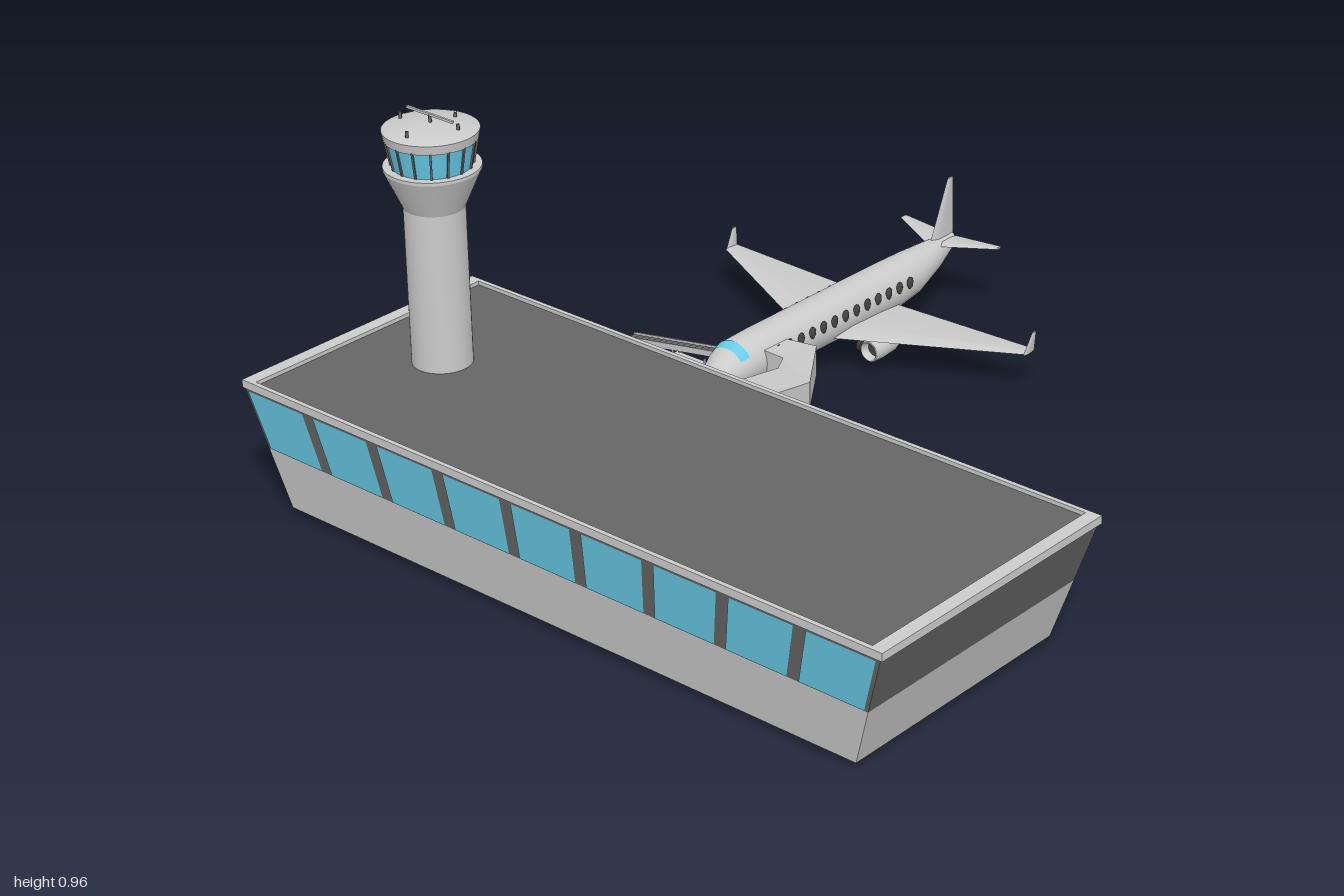
import * as THREE from 'three';
import { toCreasedNormals } from 'three/addons/utils/BufferGeometryUtils.js';
import { ConvexGeometry } from 'three/addons/geometries/ConvexGeometry.js';

const mat = (color, flatShading = false) =>
  new THREE.MeshStandardMaterial({ color, flatShading, side: THREE.DoubleSide });
const grey = mat(0xcccccc), dark = mat(0x666666), glass = mat(0x68cbe8), black = mat(0x444444);

function add(parent, name, geo, material, x = 0, y = 0, z = 0) {
  const m = new THREE.Mesh(geo, material);
  m.name = name;
  m.position.set(x, y, z);
  parent.add(m);
  return m;
}

function group(parent, name) {
  const g = new THREE.Group();
  g.name = name;
  parent.add(g);
  return g;
}

// Joins rings of points into a solid, facing outward
function loft(rings, crease = 0.6, caps = true) {
  const tris = [], n = rings[0].length;
  for (let i = 0; i < rings.length - 1; i++)
    for (let j = 0; j < n; j++) {
      const k = (j + 1) % n, a = rings[i][j], b = rings[i][k], c = rings[i + 1][k], d = rings[i + 1][j];
      tris.push([a, b, c], [a, c, d]);
    }
  if (caps) for (let j = 1; j < n - 1; j++) {
    const e = rings[rings.length - 1], s = rings[0];
    tris.push([s[0], s[j + 1], s[j]], [e[0], e[j], e[j + 1]]);
  }
  const v = (p) => new THREE.Vector3(...p);
  const vol = tris.reduce((t, [a, b, c]) => t + v(a).dot(v(b).cross(v(c))), 0);
  if (vol < 0) tris.forEach((t) => t.reverse());
  const geo = new THREE.BufferGeometry();
  geo.setAttribute('position', new THREE.Float32BufferAttribute(tris.flat(2), 3));
  geo.computeVertexNormals();
  return toCreasedNormals(geo, crease);
}

function quad(a, b, c, d) {
  const geo = new THREE.BufferGeometry();
  geo.setAttribute('position', new THREE.Float32BufferAttribute([a, b, c, a, c, d].flat(), 3));
  geo.computeVertexNormals();
  return geo;
}

// Point on an outward-leaning wall; u runs -1..1 to the right as seen from outside
function wallPoint(side, u, y, off = 0) {
  const t = (y - 0.02) / 0.32, hx = 0.86 + 0.1 * t, hz = 0.335 + 0.04 * t, cz = 0.625;
  if (side === 'front') return [u * hx, y, cz + hz + off];
  if (side === 'back') return [-u * hx, y, cz - hz - off];
  if (side === 'left') return [hx + off, y, cz - u * hz];
  return [-hx - off, y, cz + u * hz];
}

const panel = (side, u0, u1, y0, y1, off = 0) => quad(
  wallPoint(side, u0, y0, off), wallPoint(side, u1, y0, off),
  wallPoint(side, u1, y1, off), wallPoint(side, u0, y1, off));

function terminal(parent) {
  const g = group(parent, 'terminal');
  const doors = { back: [-0.545, -0.36, 0.04, dark], right: [-0.2, 0.15, 0.1, grey] };
  const panes = { front: 9, back: 9, right: 4, left: 0 };
  const base = 0.02, sill = 0.17, top = 0.32;
  for (const side of Object.keys(panes)) {
    const door = doors[side];
    if (door) {
      const [u0, u1, lean, material] = door, depth = lean * (sill - base) / 0.32;
      add(g, 'lowerWall', panel(side, -1, u0, base, sill), grey);
      add(g, 'lowerWall', panel(side, u1, 1, base, sill), grey);
      const inner = [u0, u1].map((u) => wallPoint(side, u, sill, -depth));
      const low = [u0, u1].map((u) => wallPoint(side, u, base));
      const high = [u0, u1].map((u) => wallPoint(side, u, sill));
      add(g, 'door', quad(low[0], low[1], inner[1], inner[0]), material);
      add(g, 'doorHead', quad(inner[0], inner[1], high[1], high[0]), grey);
      for (const i of [0, 1]) add(g, 'doorReveal', quad(low[i], inner[i], high[i], high[i]), grey);
    } else add(g, 'lowerWall', panel(side, -1, 1, base, sill), grey);
    add(g, 'windowBand', panel(side, -1, 1, sill, top), dark);
    const n = panes[side], gap = n === 9 ? 0.018 : 0.04;
    for (let i = 0; i < n; i++) {
      const u0 = -1 + (2 * i) / n + (i ? gap : 0.01), u1 = -1 + (2 * (i + 1)) / n - (i < n - 1 ? gap : 0.01);
      add(g, 'windowPane', panel(side, u0, u1, sill + 0.002, top - 0.005, 0.002), glass);
    }
  }
  add(g, 'floor', new THREE.BoxGeometry(1.72, 0.002, 0.67), dark, 0, 0.021, 0.625);
  // Shallow ramps below the two doors
  const ramp = (pts) => add(g, 'doorRamp', new ConvexGeometry(pts.map((p) => new THREE.Vector3(...p))), dark);
  ramp([[0.13, 0.02, 0.29], [0.63, 0.02, 0.29], [0.31, 0.01, 0.29], [0.47, 0.01, 0.29], [0.38, 0.02, 0.6]]);
  ramp([[-0.86, 0.02, 0.32], [-0.86, 0.02, 0.77], [-0.85, 0, 0.61], [-0.7, 0.02, 0.6]]);
  // Roof and raised rim
  add(g, 'roof', new THREE.BoxGeometry(1.88, 0.008, 0.73), dark, 0, 0.326, 0.625);
  const rect = (Type, x, z0, z1) => {
    const s = new Type();
    s.moveTo(-x, -z0); s.lineTo(x, -z0); s.lineTo(x, -z1); s.lineTo(-x, -z1); s.closePath();
    return s;
  };
  const rim = rect(THREE.Shape, 0.96, 0.25, 1);
  rim.holes.push(rect(THREE.Path, 0.925, 0.262, 0.988));
  const rimGeo = new THREE.ExtrudeGeometry(rim, { depth: 0.02, bevelEnabled: false });
  add(g, 'roofRim', rimGeo.rotateX(-Math.PI / 2), grey, 0, 0.32, 0);
}

function tower(parent) {
  const g = group(parent, 'controlTower');
  g.position.set(-0.69, 0, 0.615);
  const turned = (name, pts, material) => add(g, name, toCreasedNormals(
    new THREE.LatheGeometry(pts.map((p) => new THREE.Vector2(...p)), 40), 0.4), material);
  turned('shaft', [[0.073, 0.325], [0.073, 0.73], [0.115, 0.825], [0.115, 0.833], [0, 0.833]], grey);
  turned('cabGlass', [[0.094, 0.832], [0.107, 0.902]], glass);
  turned('cabRoof', [[0, 0.899], [0.11, 0.899], [0.114, 0.922], [0.1, 0.927], [0, 0.937]], grey);
  for (let i = 0; i < 16; i++) {
    const pivot = group(g, 'cabMullion');
    pivot.rotation.y = (i * Math.PI) / 8;
    const bar = add(pivot, 'mullionBar', new THREE.BoxGeometry(0.005, 0.072, 0.006), dark, 0, 0.867, 0.101);
    bar.rotation.x = 0.184;
  }
  // Roof aerials
  add(g, 'radarBar', new THREE.BoxGeometry(0.15, 0.006, 0.006), grey, 0, 0.955, 0);
  for (const [x, z, top] of [[0, 0, 0.955], [-0.083, 0.015, 0.945], [0.07, -0.02, 0.943], [0.012, 0.085, 0.943], [0.01, -0.07, 0.94]])
    add(g, 'aerial', new THREE.CylinderGeometry(0.004, 0.004, top - 0.92, 8), dark, x, (top + 0.92) / 2, z);
}

function jetBridge(parent) {
  // Left and right floor corners, then floor and ceiling height
  const rings = [
    [-0.3, 0.275, -0.125, 0.275, 0.16, 0.315],
    [-0.26, 0.16, -0.145, 0.16, 0.125, 0.215],
    [-0.255, -0.09, -0.145, -0.08, 0.11, 0.18],
    [-0.3, -0.16, -0.28, -0.265, 0.088, 0.167],
    [-0.37, -0.165, -0.37, -0.25, 0.088, 0.165],
  ].map(([x0, z0, x1, z1, lo, hi]) => [[x0, lo, z0], [x1, lo, z1], [x1, hi, z1], [x0, hi, z0]]);
  add(parent, 'jetBridge', loft(rings, 0.1), grey);
}

// Tapered wing or fin; each row is x, y, leading z, trailing z, thickness
function foil(rows, axis = 1) {
  const profile = [[0, 0], [0.25, 0.5], [0.7, 0.35], [1, 0.03], [1, -0.03], [0.7, -0.35], [0.25, -0.5]];
  return loft(rows.map(([x, y, zl, zt, th]) => profile.map(([c, h]) => {
    const p = [x, y, zl + (zt - zl) * c];
    p[axis] += h * th;
    return p;
  })), 0.7);
}

function airplane(parent) {
  const g = group(parent, 'airplane');
  g.position.x = -0.42;
  // z, centre height, half width, half height
  const sections = [
    [0.01, 0.107, 0.003, 0.003], [-0.01, 0.109, 0.022, 0.02], [-0.04, 0.116, 0.042, 0.038],
    [-0.08, 0.125, 0.058, 0.055], [-0.12, 0.13, 0.065, 0.063], [-0.2, 0.13, 0.066, 0.066],
    [-0.7, 0.13, 0.066, 0.066], [-0.8, 0.136, 0.058, 0.06], [-0.9, 0.153, 0.038, 0.042], [-0.985, 0.17, 0.014, 0.02]];
  add(g, 'fuselage', loft(sections.map(([z, cy, rx, ry]) => Array.from({ length: 24 }, (_, i) => {
    const a = (i * Math.PI) / 12;
    return [Math.cos(a) * rx, cy + Math.sin(a) * ry, z];
  }))), grey);
  // Cockpit glass follows the top of the nose
  add(g, 'cockpitGlass', loft([[-0.085, 0.1262, 0.0595, 0.0575], [-0.113, 0.13, 0.065, 0.063]].map(([z, cy, rx, ry]) =>
    Array.from({ length: 13 }, (_, i) => {
      const a = ((35 + (i * 110) / 12) * Math.PI) / 180;
      return [Math.cos(a) * rx, cy + Math.sin(a) * ry, z];
    })), 0.6, false), glass);

  for (const s of [-1, 1]) {
    for (let i = 0; i < 13; i++)
      add(g, 'cabinWindow', new THREE.SphereGeometry(1, 10, 8).scale(0.006, 0.017, 0.012), black, s * 0.063, 0.15, -0.21 - i * 0.0435);
    add(g, 'wing', foil([[s * 0.02, 0.1, -0.41, -0.69, 0.024], [s * 0.498, 0.112, -0.645, -0.69, 0.008]]), grey);
    add(g, 'winglet', foil([[s * 0.497, 0.108, -0.645, -0.69, 0.008], [s * 0.501, 0.163, -0.675, -0.692, 0.005]], 0), grey);
    add(g, 'tailplane', foil([[s * 0.005, 0.18, -0.895, -0.99, 0.014], [s * 0.16, 0.19, -0.97, -0.995, 0.006]]), grey);
    // Engine pod, open at the front
    const pod = [[0.019, 0.03], [0.024, 0.06], [0.029, 0.055], [0.03, 0.02], [0.027, -0.025], [0.016, -0.06], [0, -0.06]];
    const engine = add(g, 'engine', new THREE.LatheGeometry(pod.map((p) => new THREE.Vector2(...p)), 20), grey, s * 0.13, 0.066, -0.54);
    engine.rotation.x = Math.PI / 2;
    add(g, 'engineFan', new THREE.CircleGeometry(0.022, 20), black, s * 0.13, 0.066, -0.505);
    add(g, 'enginePylon', new THREE.BoxGeometry(0.008, 0.03, 0.08), grey, s * 0.13, 0.094, -0.55);
    // Landing gear
    const wheel = (x, z) => add(g, 'wheel', new THREE.CylinderGeometry(0.016, 0.016, 0.01, 16).rotateZ(Math.PI / 2), black, x, 0.038, z);
    wheel(s * 0.01, -0.18);
    wheel(s * 0.055, -0.545);
    wheel(s * 0.079, -0.545);
    add(g, 'mainStrut', new THREE.CylinderGeometry(0.005, 0.005, 0.065, 8), grey, s * 0.067, 0.068, -0.545);
  }
  add(g, 'noseStrut', new THREE.CylinderGeometry(0.004, 0.004, 0.045, 8), grey, 0, 0.058, -0.18);
  add(g, 'tailFin', foil([[0, 0.18, -0.89, -0.99, 0.016], [0, 0.35, -0.965, -0.988, 0.006]], 0), grey);
}

function boardingStairs(parent) {
  const g = group(parent, 'boardingStairs');
  const x0 = -0.48, x1 = -0.85, y0 = 0.098, y1 = 0.035, z = -0.195;
  const mid = [(x0 + x1) / 2, (y0 + y1) / 2], angle = Math.atan2(y0 - y1, x0 - x1), len = Math.hypot(x0 - x1, y0 - y1);
  add(g, 'stairBed', new THREE.BoxGeometry(len, 0.008, 0.03), dark, mid[0], mid[1], z).rotation.z = angle;
  for (let i = 0; i < 18; i++) {
    const t = (i + 0.5) / 18;
    add(g, 'step', new THREE.BoxGeometry(0.018, 0.006, 0.028), dark, x0 + (x1 - x0) * t, y0 + (y1 - y0) * t + 0.005, z);
  }
  for (const s of [-1, 1]) {
    add(g, 'sideRail', new THREE.BoxGeometry(len, 0.016, 0.003), grey, mid[0], mid[1] + 0.006, z + s * 0.016).rotation.z = angle;
    for (const x of [-0.69, -0.58]) {
      add(g, 'stairWheel', new THREE.CylinderGeometry(0.011, 0.011, 0.006, 12).rotateX(Math.PI / 2), black, x, 0.033, z + s * 0.018);
      add(g, 'stairLeg', new THREE.BoxGeometry(0.005, 0.035, 0.004), grey, x, 0.05, z + s * 0.013);
    }
  }
  add(g, 'chassis', new THREE.BoxGeometry(0.13, 0.008, 0.03), grey, -0.635, 0.038, z);
}

export function createModel() {
  const root = new THREE.Group();
  root.name = 'airport';
  terminal(root);
  tower(root);
  jetBridge(root);
  airplane(root);
  boardingStairs(root);
  return root;
}
